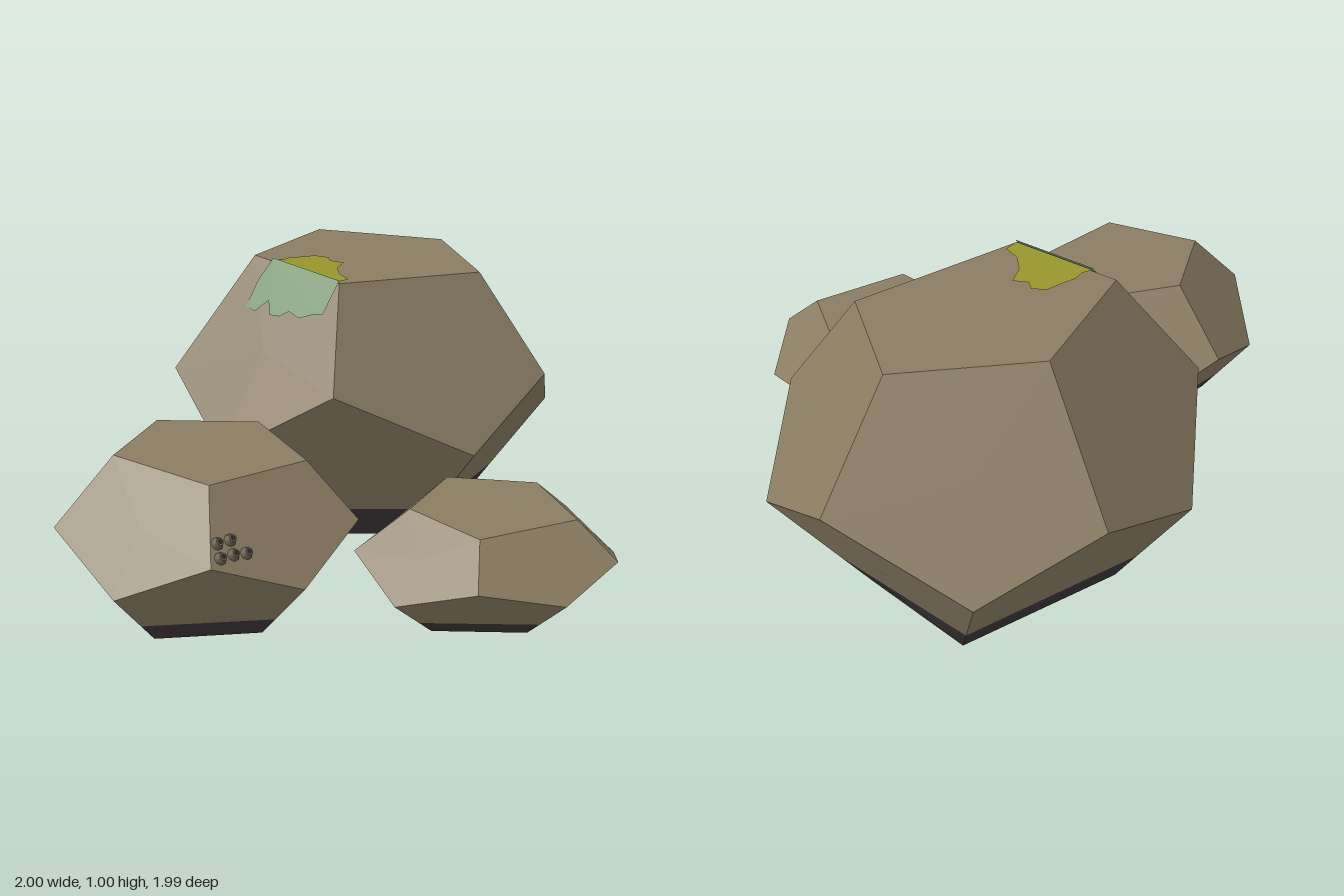
import * as THREE from 'three';

const V = (a) => new THREE.Vector3(...a);
const mat = (name, color, side = THREE.FrontSide) => {
  const m = new THREE.MeshStandardMaterial({ color, side });
  m.name = name;
  return m;
};
const centroid = (pts) => pts.reduce((s, p) => s.add(p), new THREE.Vector3()).divideScalar(pts.length);

// Keep the part of a polygon above (sign 1) or below (sign -1) a height
function clip(poly, h, sign) {
  const out = [];
  poly.forEach((p, i) => {
    const q = poly[(i + 1) % poly.length];
    const dp = (p.y - h) * sign, dq = (q.y - h) * sign;
    if (dp >= 0) out.push(p);
    if (dp * dq < 0) out.push(p.clone().lerp(q, dp / (dp - dq)));
  });
  return out;
}

// Flat-shaded polygons, each fanned about its centroid and facing away from the rock's centre
function facets(polys, centre) {
  const pos = [], nor = [];
  for (const poly of polys) {
    const c = centroid(poly), n = new THREE.Vector3();
    poly.forEach((p, i) => {
      const q = poly[(i + 1) % poly.length];
      n.add(p.clone().sub(c).cross(q.clone().sub(c)));
    });
    n.normalize();
    const flip = n.dot(c.clone().sub(centre)) < 0;
    if (flip) n.negate();
    const loop = flip ? [...poly].reverse() : poly;
    loop.forEach((p, i) => {
      for (const v of [c, p, loop[(i + 1) % loop.length]]) {
        pos.push(v.x, v.y, v.z);
        nor.push(n.x, n.y, n.z);
      }
    });
  }
  const g = new THREE.BufferGeometry();
  g.setAttribute('position', new THREE.Float32BufferAttribute(pos, 3));
  g.setAttribute('normal', new THREE.Float32BufferAttribute(nor, 3));
  return g;
}

// Rings of an irregular dodecahedron, clockwise from the back: top, upper and lower corners
const ROCKS = {
  largeRock: {
    band: 0.12,
    top: [[0.265, 0.997, -0.714], [0.687, 0.96, -0.53], [0.618, 0.917, -0.1], [0.053, 0.933, -0.03], [-0.104, 0.976, -0.41]],
    upper: [[0.217, 0.575, -1], [0.935, 0.598, -0.63], [0.8, 0.57, 0.063], [-0.05, 0.6, 0.163], [-0.39, 0.587, -0.46]],
    lower: [[0.607, 0.377, -0.94], [0.998, 0.377, -0.25], [0.436, 0.363, 0.23], [-0.345, 0.37, -0.104], [-0.16, 0.385, -0.84]],
  },
  leftRock: {
    band: 0.067,
    top: [[-0.6, 0.552, 0.02], [-0.286, 0.533, 0.104], [-0.262, 0.507, 0.457], [-0.607, 0.507, 0.56], [-0.81, 0.537, 0.27]],
    upper: [[-0.66, 0.34, -0.174], [-0.13, 0.34, -0.01], [-0.13, 0.33, 0.55], [-0.66, 0.318, 0.725], [-1, 0.334, 0.27]],
    lower: [[-0.377, 0.22, -0.174], [-0.04, 0.205, 0.25], [-0.377, 0.21, 0.725], [-0.9, 0.197, 0.56], [-0.91, 0.21, 0]],
  },
  frontRock: {
    band: 0.045,
    top: [[0.265, 0.355, 0.366], [0.527, 0.34, 0.49], [0.49, 0.323, 0.794], [0.136, 0.323, 0.826], [0.035, 0.345, 0.564]],
    upper: [[0.238, 0.215, 0.21], [0.682, 0.217, 0.42], [0.58, 0.206, 0.89], [0.067, 0.206, 0.95], [-0.136, 0.222, 0.53]],
    lower: [[0.505, 0.137, 0.254], [0.714, 0.136, 0.67], [0.34, 0.14, 0.99], [-0.115, 0.132, 0.778], [-0.035, 0.137, 0.324]],
  },
};

function makeRock(name, spec, stone, base) {
  const T = spec.top.map(V), U = spec.upper.map(V), L = spec.lower.map(V);
  const centre = centroid([...U, ...L]);
  // Bottom corners mirror the top ones through the centre, flattened on the ground
  const B = T.map((_, k) => {
    const t = T[(k + 3) % 5];
    return new THREE.Vector3(2 * centre.x - t.x, 0, 2 * centre.z - t.z);
  });
  const stoneFaces = [T], baseFaces = [B];
  for (let k = 0; k < 5; k++) {
    const j = (k + 1) % 5;
    stoneFaces.push([T[k], T[j], U[j], L[k], U[k]]);
    const low = [L[k], U[j], L[j], B[j], B[k]];
    stoneFaces.push(clip(low, spec.band, 1));
    baseFaces.push(clip(low, spec.band, -1));
  }
  const group = new THREE.Group();
  group.name = name;
  const body = new THREE.Mesh(facets(stoneFaces, centre), stone);
  body.name = name + 'Body';
  const foot = new THREE.Mesh(facets(baseFaces, centre), base);
  foot.name = name + 'DampBase';
  group.add(body, foot);
  return { group, T, topFace: T, sideFace: (k) => stoneFaces[1 + 2 * k] };
}

// Plane through one top edge and the centre of a face, raised a little outwards
function facePlane(a, b, face, lift) {
  const plane = new THREE.Plane().setFromCoplanarPoints(a, b, centroid(face));
  if (plane.normal.y < 0) plane.negate();
  plane.constant -= lift;
  return plane;
}
const heightOn = (pl, x, z) => -(pl.constant + pl.normal.x * x + pl.normal.z * z) / pl.normal.y;

// Thin growth laid on a face from its plan outline
function makePatch(name, outline, plane, material) {
  const shape = new THREE.Shape(outline.map(([x, z]) => new THREE.Vector2(x, -z)));
  const g = new THREE.ShapeGeometry(shape);
  const p = g.attributes.position;
  for (let i = 0; i < p.count; i++) {
    const x = p.getX(i), z = -p.getY(i);
    p.setXYZ(i, x, heightOn(plane, x, z), z);
  }
  g.computeVertexNormals();
  const mesh = new THREE.Mesh(g, material);
  mesh.name = name;
  return mesh;
}

export function createModel() {
  const model = new THREE.Group();
  model.name = 'shoreRocks';
  const stone = mat('stone', 0x8b7d63);
  const base = mat('dampStone', 0x3d3536);
  const yellow = mat('yellowLichen', 0x96962c, THREE.DoubleSide);
  const green = mat('greenLichen', 0x7a9a72, THREE.DoubleSide);
  const shell = mat('barnacleShell', 0x6b6152);
  const hole = mat('barnacleOpening', 0x2e2822);

  const rocks = {};
  for (const [name, spec] of Object.entries(ROCKS)) {
    rocks[name] = makeRock(name, spec, stone, base);
    model.add(rocks[name].group);
  }

  // Lichen over the upper left edge of the large rock
  const big = rocks.largeRock;
  model.add(makePatch('yellowLichenPatch', [
    [-0.068, -0.325], [-0.03, -0.325], [0, -0.345], [0.05, -0.35], [0.1, -0.36], [0.14, -0.33], [0.13, -0.29],
    [0.168, -0.255], [0.12, -0.2], [0.095, -0.13], [0.1, -0.06], [0.053, -0.035],
  ], facePlane(big.T[3], big.T[4], big.topFace, 0.005), yellow));
  model.add(makePatch('greenLichenPatch', [
    [-0.068, -0.325], [-0.12, -0.335], [-0.17, -0.325], [-0.155, -0.28], [-0.115, -0.25], [-0.125, -0.215],
    [-0.105, -0.175], [-0.08, -0.15], [-0.065, -0.1], [-0.035, -0.06], [-0.01, -0.02], [0.053, -0.03],
  ], facePlane(big.T[3], big.T[4], big.sideFace(3), 0.005), green));

  // Barnacles on the front face of the left rock
  const left = rocks.leftRock;
  const plane = facePlane(left.T[2], left.T[3], left.sideFace(2), 0);
  const cone = new THREE.CylinderGeometry(0.012, 0.021, 0.022, 8).translate(0, 0.009, 0);
  const disc = new THREE.CircleGeometry(0.008, 8).rotateX(-Math.PI / 2).translate(0, 0.021, 0);
  const spots = [[-0.623, 0.37], [-0.58, 0.37], [-0.623, 0.335], [-0.58, 0.335], [-0.538, 0.33]];
  for (const [x, y] of spots) {
    const barnacle = new THREE.Group();
    barnacle.name = 'barnacle';
    const n = plane.normal;
    barnacle.position.set(x, y, -(plane.constant + n.x * x + n.y * y) / n.z);
    barnacle.quaternion.setFromUnitVectors(new THREE.Vector3(0, 1, 0), n);
    const wall = new THREE.Mesh(cone, shell);
    wall.name = 'barnacleWall';
    const mouth = new THREE.Mesh(disc, hole);
    mouth.name = 'barnacleMouth';
    barnacle.add(wall, mouth);
    model.add(barnacle);
  }
  return model;
}
